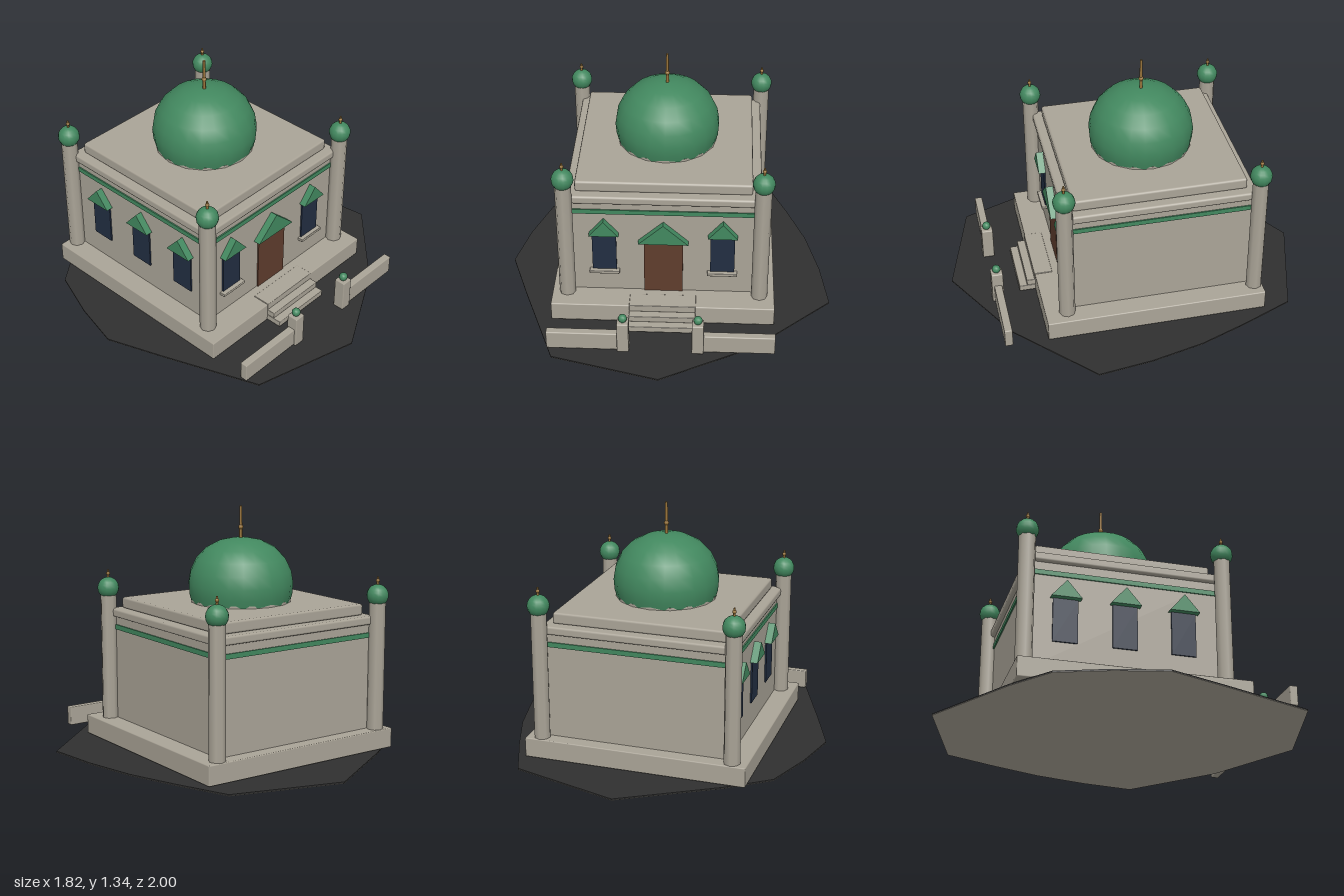
import * as THREE from 'three';
import { RoundedBoxGeometry } from 'three/addons/geometries/RoundedBoxGeometry.js';

const material = (name, color) => {
  const m = new THREE.MeshStandardMaterial({ color });
  m.name = name;
  return m;
};

export function createModel() {
  const stone = material('stone', 0xaaa497);
  const green = material('green', 0x42885f);
  const gold = material('gold', 0x98733a);
  const wood = material('door brown', 0x5f3d2d);
  const glass = material('window blue', 0x222e42);
  const earth = material('dark ground', 0x303030);

  const model = new THREE.Group();
  model.name = 'domedBuilding';
  const CX = -0.018, CZ = -0.105; // centre of the hall

  const add = (name, geometry, mat, x = 0, y = 0, z = 0, parent = model) => {
    const mesh = new THREE.Mesh(geometry, mat);
    mesh.name = name;
    mesh.position.set(x, y, z);
    parent.add(mesh);
    return mesh;
  };
  // Softly bevelled block standing on y0
  const block = (name, w, d, y0, y1, x, z, r = 0.006, parent = model) =>
    add(name, new RoundedBoxGeometry(w, y1 - y0, d, 1, r), stone, x, (y0 + y1) / 2, z, parent);
  const lathe = (pts, n) => new THREE.LatheGeometry(pts.map(p => new THREE.Vector2(...p)), n);

  // Irregular ground slab: dark top on a thin stone underside
  const outline = [[-0.02, -1], [0.575, -0.825], [0.7, -0.53], [0.8, -0.265], [0.87, 0.03], [0.91, 0.33],
    [0.485, 0.725], [-0.02, 1], [-0.6, 0.845], [-0.8, 0.32], [-0.91, 0.015], [-0.845, -0.255],
    [-0.745, -0.53], [-0.52, -0.7]].map(p => new THREE.Vector2(...p));
  const slab = (name, mat, y0, y1) => {
    const g = new THREE.ExtrudeGeometry(new THREE.Shape(outline), { depth: y1 - y0, bevelEnabled: false });
    g.rotateX(Math.PI / 2);
    add(name, g, mat, 0, y1, 0);
  };
  slab('groundUnderside', stone, 0, 0.002);
  slab('ground', earth, 0.002, 0.009);

  // Plinth and hall
  block('plinth', 1.226, 1.226, 0.012, 0.122, CX, -0.069);
  add('hall', new THREE.BoxGeometry(1, 0.6, 1), stone, CX, 0.41, CZ);
  add('greenBand', new THREE.BoxGeometry(1.014, 0.027, 1.014), green, CX, 0.645, CZ);
  block('cornice', 1.05, 1.05, 0.705, 0.752, CX, CZ, 0.012);
  block('roofSlab', 0.95, 0.95, 0.752, 0.815, CX, CZ, 0.012);

  // Main dome with its drum and spire
  add('drum', new THREE.CylinderGeometry(0.276, 0.276, 0.03, 16), stone, CX, 0.814, CZ);
  add('dome', lathe([[0.268, 0.8], [0.283, 0.855], [0.288, 0.915], [0.277, 0.983], [0.245, 1.05],
    [0.19, 1.108], [0.115, 1.147], [0.05, 1.16], [0, 1.163]], 22), green, CX, 0, CZ);
  add('spire', new THREE.CylinderGeometry(0.007, 0.009, 0.18, 8), gold, CX, 1.245, CZ);
  add('spireBall', new THREE.SphereGeometry(0.014, 8, 6), gold, CX, 1.22, CZ);

  // Corner columns with small domes and finials
  for (const sx of [-1, 1]) for (const sz of [-1, 1]) {
    const tower = new THREE.Group();
    tower.name = 'cornerColumn';
    tower.position.set(CX + sx * 0.529, 0, CZ + sz * 0.529);
    model.add(tower);
    add('shaft', new THREE.CylinderGeometry(0.045, 0.045, 0.715, 8), stone, 0, 0.4775, 0, tower);
    add('columnDome', new THREE.SphereGeometry(0.06, 14, 10), green, 0, 0.865, 0, tower);
    add('finial', new THREE.CylinderGeometry(0.005, 0.007, 0.045, 8), gold, 0, 0.943, 0, tower);
    add('finialBall', new THREE.SphereGeometry(0.011, 8, 6), gold, 0, 0.945, 0, tower);
  }

  // Opening on a wall: a thin panel under a triangular hood, facing local +z
  const opening = (name, mat, halfW, y0, y1, hoodHalf, hoodTop, sill) => {
    const g = new THREE.Group();
    g.name = name;
    add('panel', new THREE.BoxGeometry(halfW * 2, y1 - y0, 0.009), mat, 0, (y0 + y1) / 2, 0.504, g);
    const tri = new THREE.Shape([new THREE.Vector2(-hoodHalf, y1), new THREE.Vector2(hoodHalf, y1),
      new THREE.Vector2(0, hoodTop)]);
    add('hood', new THREE.ExtrudeGeometry(tri, { depth: 0.045, bevelEnabled: false }), green, 0, 0, 0.495, g);
    if (sill) block('sill', 0.165, 0.04, 0.247, 0.265, 0, 0.512, 0.004, g);
    model.add(g);
    return g;
  };
  opening('door', wood, 0.106, 0.122, 0.46, 0.136, 0.585, false).position.set(CX, 0, CZ);
  for (const s of [-1, 1])
    opening('frontWindow', glass, 0.066, 0.265, 0.505, 0.081, 0.6, true).position.set(CX + s * 0.322, 0, CZ);
  for (const s of [-1, 0, 1]) {
    const w = opening('sideWindow', glass, 0.066, 0.265, 0.505, 0.081, 0.6, false);
    w.rotation.y = -Math.PI / 2;
    w.position.set(CX, 0, CZ + s * 0.315);
  }

  // Entrance steps
  [[0.015, 0.05, 0.635], [0.05, 0.086, 0.592], [0.086, 0.127, 0.548]].forEach(([y0, y1, front]) =>
    block('step', 0.364, front - 0.445, y0, y1, CX, (front + 0.445) / 2, 0.004));

  // Gate posts and low front walls
  for (const s of [-1, 1]) {
    const x = CX + s * 0.2;
    block('gatePost', 0.064, 0.066, 0.009, 0.197, x, 0.762);
    add('postBall', new THREE.SphereGeometry(0.024, 10, 8), green, x, 0.216, 0.762);
    block('frontWall', 0.4, 0.044, 0.012, 0.12, CX + s * 0.413, 0.76);
  }
  return model;
}
